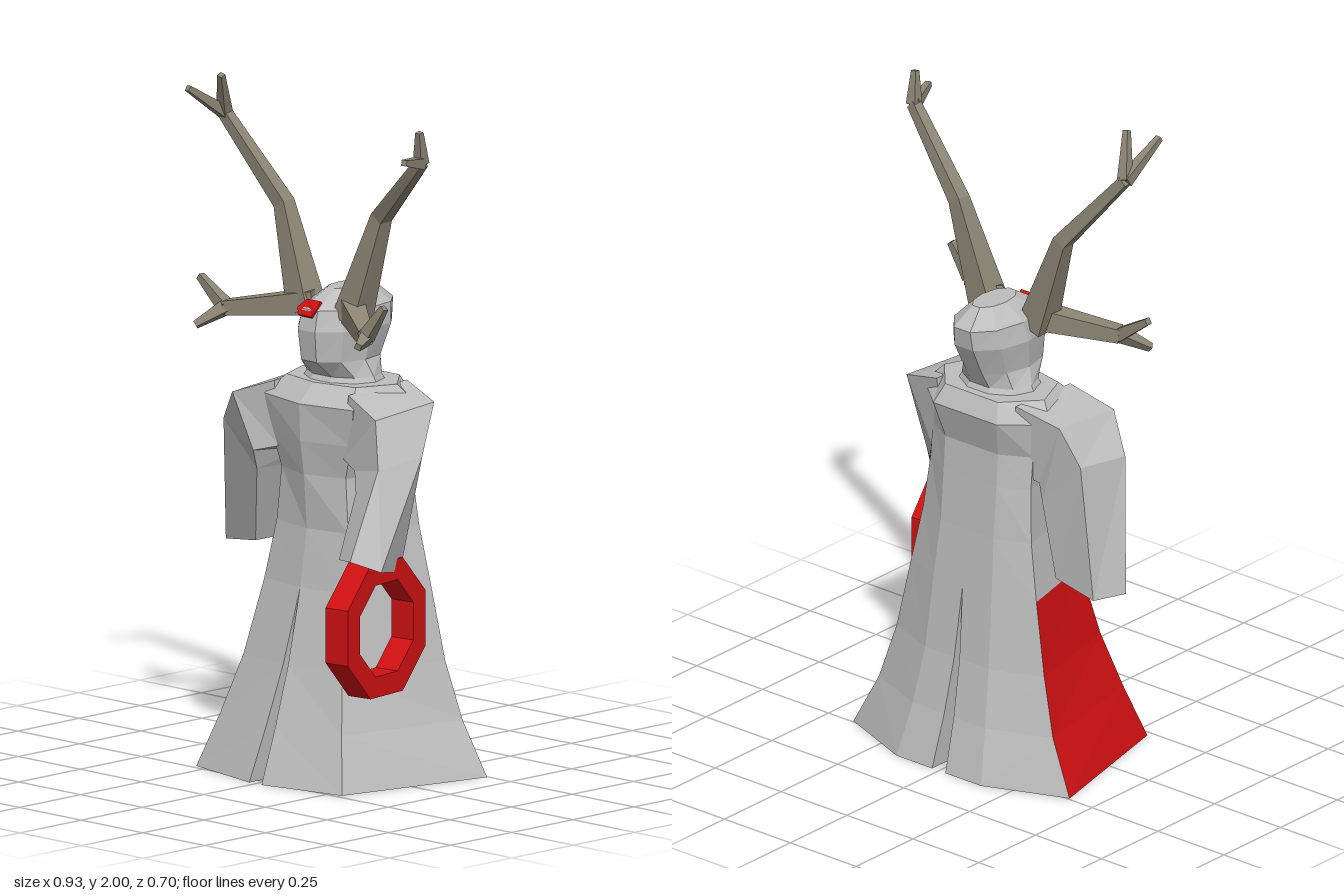
import * as THREE from 'three';

const flat = (name, color) => {
  const m = new THREE.MeshStandardMaterial({ color, flatShading: true });
  m.name = name;
  return m;
};

// Skin a closed solid through rings of points; sideMat picks a material index per side.
function loft(rings, sideMat = () => 0) {
  const tris = [];
  const groups = [];
  const n = rings[0].length;
  const last = rings.length - 1;
  for (let i = 0; i < n; i++) {
    const k = (i + 1) % n;
    groups.push([tris.length * 3, last * 6, sideMat(i)]);
    for (let j = 0; j < last; j++) {
      const a = rings[j][i], b = rings[j][k], c = rings[j + 1][k], d = rings[j + 1][i];
      tris.push([a, b, c], [a, c, d]);
    }
  }
  const capStart = tris.length * 3;
  for (let i = 1; i < n - 1; i++) {
    tris.push([rings[0][0], rings[0][i + 1], rings[0][i]]);
    tris.push([rings[last][0], rings[last][i], rings[last][i + 1]]);
  }
  groups.push([capStart, (n - 2) * 6, 0]);
  // turn the solid outward if its signed volume is negative
  let volume = 0;
  for (const [a, b, c] of tris) {
    volume += a[0] * (b[1] * c[2] - b[2] * c[1]) + a[1] * (b[2] * c[0] - b[0] * c[2])
      + a[2] * (b[0] * c[1] - b[1] * c[0]);
  }
  if (volume < 0) tris.forEach((t) => t.reverse());
  const g = new THREE.BufferGeometry();
  g.setAttribute('position', new THREE.Float32BufferAttribute(tris.flat(2), 3));
  groups.forEach((gr) => g.addGroup(...gr));
  g.computeVertexNormals();
  return g;
}

// Square-section limb along points [x, y, z, radius]
function limb(points, ref) {
  const v = points.map((p) => new THREE.Vector3(p[0], p[1], p[2]));
  const rings = points.map((p, i) => {
    const t = v[Math.min(i + 1, v.length - 1)].clone().sub(v[Math.max(i - 1, 0)]).normalize();
    const u = t.clone().cross(ref).normalize();
    const w = t.clone().cross(u);
    return [0, 1, 2, 3].map((k) => {
      const a = Math.PI / 4 + (k * Math.PI) / 2;
      return v[i].clone().addScaledVector(u, Math.cos(a) * p[3])
        .addScaledVector(w, Math.sin(a) * p[3]).toArray();
    });
  });
  return loft(rings);
}

export function createModel() {
  const model = new THREE.Group();
  model.name = 'hornedRobedFigure';
  const cloth = flat('greyCloth', 0xbdbdbd);
  const red = flat('red', 0xd01012);
  const horn = flat('antler', 0x8c8575);
  const add = (name, geometry, material, parent = model) => {
    const mesh = new THREE.Mesh(geometry, material);
    mesh.name = name;
    parent.add(mesh);
    return mesh;
  };

  // Robe half-section: centre front, front corner, side, back corner, centre back
  const half = ([y, xf, zf, zc, xs, zs, xb, zb, gap], s) => [
    [s * gap, y, zf], [s * xf, y, zc], [s * xs, y, zs], [s * xb, y, zb], [s * gap, y, zb],
  ];
  const waist = [0.55, 0.17, 0.105, 0.08, 0.237, -0.19, 0.11, -0.24, 0];
  const torso = [
    [1.145, 0.14, 0.05, 0.02, 0.19, -0.1, 0.1, -0.2, 0],
    [1.09, 0.18, 0.11, 0.07, 0.24, -0.13, 0.12, -0.23, 0],
    [0.98, 0.16, 0.105, 0.06, 0.19, -0.15, 0.1, -0.2, 0],
    [0.88, 0.13, 0.09, 0.05, 0.19, -0.16, 0.1, -0.207, 0],
    [0.72, 0.145, 0.078, 0.055, 0.205, -0.175, 0.1, -0.22, 0],
    waist,
  ];
  const fullRing = (row) => [...half(row, 1), ...half(row, -1).slice(1, 4).reverse()];
  add('robeTorso', loft(torso.map(fullRing)), cloth);

  // Split skirt, with a red panel on the outside of the right half
  const skirt = [
    waist,
    [0.33, 0.2, 0.165, 0.135, 0.28, -0.205, 0.12, -0.265, 0.01],
    [0.16, 0.245, 0.225, 0.183, 0.33, -0.225, 0.137, -0.3, 0.018],
    [0, 0.295, 0.288, 0.232, 0.41, -0.245, 0.16, -0.345, 0.025],
  ];
  for (const s of [1, -1]) {
    add(s > 0 ? 'leftSkirt' : 'rightSkirt',
      loft(skirt.map((row) => half(row, s)), (i) => (s < 0 && i === 1 ? 1 : 0)), [cloth, red]);
  }

  // Sleeves: mirrored shoulders, left arm reaching forward, right arm hanging
  const shoulder = (s) => [
    [[0.15, 1.13, 0.06], [0.15, 1.14, -0.18], [0.13, 0.93, -0.16], [0.13, 0.94, 0.06]],
    [[0.29, 1.08, 0.09], [0.29, 1.1, -0.15], [0.205, 0.9, -0.14], [0.205, 0.92, 0.09]],
  ].map((ring) => ring.map(([x, y, z]) => [s * x, y, z]));
  add('leftSleeve', loft([...shoulder(1),
    [[0.35, 0.95, 0.14], [0.37, 0.97, -0.02], [0.27, 0.81, -0.07], [0.26, 0.87, 0.14]],
    [[0.39, 0.71, 0.295], [0.457, 0.68, 0.235], [0.37, 0.645, 0.07], [0.31, 0.7, 0.26]],
  ]), cloth);
  add('rightSleeve', loft([...shoulder(-1),
    [[-0.385, 0.98, 0.03], [-0.37, 1.0, -0.15], [-0.225, 0.85, -0.15], [-0.22, 0.86, 0.06]],
    [[-0.465, 0.6, -0.06], [-0.44, 0.61, -0.175], [-0.285, 0.63, -0.16], [-0.285, 0.63, 0]],
  ]), cloth);

  // Hooded head: ten-sided rings given by height, half-width, front and back
  const hood = [
    [1.1, 0.15, 0.05, -0.2], [1.16, 0.12, 0.015, -0.165], [1.21, 0.1, 0.07, -0.19],
    [1.3, 0.112, 0.08, -0.235], [1.36, 0.1, 0.065, -0.243], [1.412, 0.045, -0.02, -0.18],
  ].map(([y, w, zf, zb]) => Array.from({ length: 10 }, (_, i) => {
    const a = ((i + 0.5) / 10) * Math.PI * 2;
    return [Math.sin(a) * w, y, (zf + zb) / 2 + (Math.cos(a) / 0.951) * ((zf - zb) / 2)];
  }));
  add('hood', loft(hood), cloth);

  // Thin red mark on the forehead
  const mark = [[-0.035, 1.384, 0.042], [0.02, 1.384, 0.042], [0.028, 1.362, 0.068],
    [0.016, 1.343, 0.077], [-0.036, 1.343, 0.077], [-0.048, 1.362, 0.068]];
  add('foreheadMark', loft([mark, mark.map(([x, y, z]) => [x, y - 0.006, z - 0.007])]), red);

  // Antlers: main beam, side branch, and forked tips on each
  const X = new THREE.Vector3(1, 0, 0);
  const Y = new THREE.Vector3(0, 1, 0);
  const Z = new THREE.Vector3(0, 0, 1);
  const antlers = {
    leftAntler: {
      beam: [[0.085, 1.33, -0.02, 0.06], [0.19, 1.645, -0.035, 0.032], [0.425, 1.85, 0.04, 0.022]],
      beamTips: [[0.455, 1.87, 0.14], [0.438, 1.945, 0.06]],
      branch: [[0.07, 1.365, -0.03, 0.05], [0.27, 1.325, 0.11, 0.03]],
      branchTips: [[0.335, 1.42, 0.1], [0.298, 1.31, 0.17]],
    },
    rightAntler: {
      beam: [[-0.095, 1.33, -0.02, 0.06], [-0.205, 1.63, -0.035, 0.032], [-0.41, 1.87, 0.0, 0.022]],
      beamTips: [[-0.365, 1.995, 0.06], [-0.42, 1.96, 0.14]],
      branch: [[-0.07, 1.36, -0.03, 0.05], [-0.315, 1.325, 0.09, 0.03]],
      branchTips: [[-0.425, 1.4, 0.085], [-0.37, 1.275, 0.16]],
    },
  };
  for (const [name, a] of Object.entries(antlers)) {
    const group = new THREE.Group();
    group.name = name;
    model.add(group);
    add('antlerBeam', limb(a.beam, Z), horn, group);
    add('antlerBranch', limb(a.branch, Y), horn, group);
    const fork = (stem, tips, r, ref) => tips.forEach((t) => {
      const root = stem[stem.length - 1];
      add('antlerTip', limb([[root[0], root[1], root[2], r], [...t, r * 0.5]], ref), horn, group);
    });
    fork(a.beam, a.beamTips, 0.024, X);
    fork(a.branch, a.branchTips, 0.027, Z);
  }

  // Octagonal red hoop hanging from the left hand
  const octagon = (r, path) => {
    for (let i = 0; i < 8; i++) {
      const a = ((i + 0.5) / 8) * Math.PI * 2;
      path[i ? 'lineTo' : 'moveTo'](Math.cos(a) * r, Math.sin(a) * r);
    }
    path.closePath();
    return path;
  };
  const shape = octagon(0.2, new THREE.Shape());
  shape.holes.push(octagon(0.137, new THREE.Path()));
  const hoopGeo = new THREE.ExtrudeGeometry(shape, { depth: 0.08, bevelEnabled: false });
  hoopGeo.translate(0, 0, -0.04);
  const hoop = add('hoop', hoopGeo, red);
  hoop.scale.y = 1.06;
  hoop.rotation.y = Math.PI / 2 + 0.13;
  hoop.position.set(0.362, 0.497, 0.162);

  return model;
}
